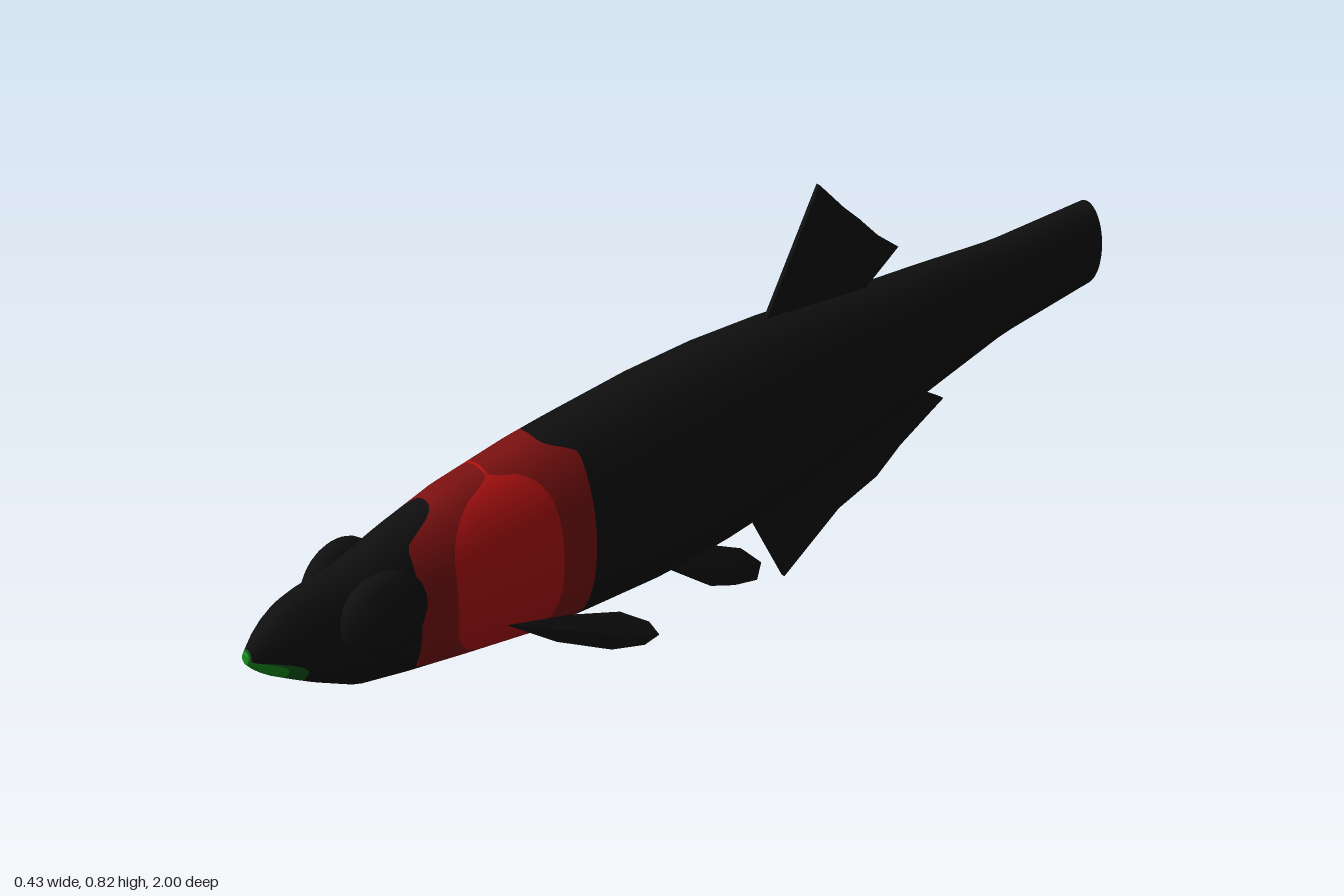
import * as THREE from 'three';

const mat = (name, color, side = THREE.FrontSide) => {
  const m = new THREE.MeshStandardMaterial({ color, side });
  m.name = name;
  return m;
};

// Body stations: z, top y, bottom y, half width
const STATIONS = [
  [-1, 0.505, 0.32, 0.046], [-0.75, 0.517, 0.308, 0.055], [-0.55, 0.545, 0.27, 0.068],
  [-0.4, 0.563, 0.24, 0.08], [-0.17, 0.6, 0.2, 0.1], [0, 0.615, 0.185, 0.107],
  [0.15, 0.618, 0.184, 0.107], [0.33, 0.611, 0.198, 0.102], [0.42, 0.606, 0.206, 0.098],
  [0.58, 0.588, 0.238, 0.086], [0.7, 0.562, 0.262, 0.07], [0.8, 0.532, 0.287, 0.06],
  [0.88, 0.524, 0.335, 0.05], [0.92, 0.516, 0.362, 0.042], [0.96, 0.495, 0.39, 0.029],
  [0.985, 0.47, 0.412, 0.018], [1, 0.452, 0.432, 0.008],
];

function section(z) {
  let i = 0;
  while (i < STATIONS.length - 2 && z > STATIONS[i + 1][0]) i++;
  const a = STATIONS[i], b = STATIONS[i + 1];
  const t = (z - a[0]) / (b[0] - a[0]);
  const [, top, bottom, rx] = a.map((v, k) => v + (b[k] - v) * t);
  return { y: (top + bottom) / 2, ry: (top - bottom) / 2, rx };
}

// Colour borders along the body, each a z value for an angle around it
const smooth = THREE.MathUtils.smoothstep;
const pinch = (s) => smooth(Math.abs(s), 0.8, 1);
const patch = (s) => Math.sqrt(Math.max(0, 1 - Math.pow(Math.min(1, Math.abs(s) / 0.93), 4)));
const lip = (s) => smooth(-s, 0.1, 0.55);
const BORDERS = [
  () => -1,
  (s) => 0.34 + 0.06 * pinch(s),
  (s) => 0.51 - 0.1 * patch(s),
  (s) => 0.515 + 0.11 * patch(s),
  (s) => 0.695 - 0.07 * pinch(s),
  (s) => 0.994 - 0.09 * lip(s),
  (s) => 0.997 - 0.06 * lip(s),
  () => 1,
];
const ROWS = [36, 5, 8, 5, 14, 4, 6]; // rows in each colour band

function bodyGeometry() {
  const N = 64, pos = [], index = [];
  const geo = new THREE.BufferGeometry();
  const addRow = (band, t) => {
    for (let j = 0; j < N; j++) {
      const a = (j / N) * Math.PI * 2, s = Math.sin(a);
      const z = THREE.MathUtils.lerp(BORDERS[band](s), BORDERS[band + 1](s), t);
      const c = section(z);
      pos.push(c.rx * Math.cos(a), c.y + c.ry * s, z);
    }
  };
  addRow(0, 0);
  let row = 0;
  ROWS.forEach((count, band) => {
    const start = index.length;
    for (let k = 1; k <= count; k++, row++) {
      addRow(band, k / count);
      for (let j = 0; j < N; j++) {
        const a = row * N + j, b = row * N + ((j + 1) % N);
        index.push(a, b, b + N, a, b + N, a + N);
      }
    }
    geo.addGroup(start, index.length - start, band);
  });
  geo.setAttribute('position', new THREE.Float32BufferAttribute(pos, 3));
  geo.setIndex(index);
  geo.computeVertexNormals();
  return geo;
}

// Paired fin: an outline fan, slightly thicker in the middle
function finGeometry(points) {
  const pts = points.map((p) => new THREE.Vector3(...p));
  const mid = pts.reduce((s, p) => s.add(p), new THREE.Vector3()).divideScalar(pts.length);
  const n = new THREE.Vector3();
  pts.forEach((p, i) => {
    const q = pts[(i + 1) % pts.length];
    n.add(p.clone().sub(mid).cross(q.clone().sub(mid)));
  });
  n.normalize().multiplyScalar(0.008);
  const front = mid.clone().add(n), back = mid.clone().sub(n), out = [];
  pts.forEach((p, i) => {
    const q = pts[(i + 1) % pts.length];
    out.push(front, p, q, back, q, p);
  });
  const geo = new THREE.BufferGeometry().setFromPoints(out);
  geo.computeVertexNormals();
  return geo;
}

// Upright fin in the middle plane, outlined as (z, y)
function uprightFin(points) {
  const shape = new THREE.Shape(points.map(([z, y]) => new THREE.Vector2(-z, y)));
  const geo = new THREE.ExtrudeGeometry(shape, { depth: 0.008, bevelEnabled: false });
  return geo.translate(0, 0, -0.004).rotateY(Math.PI / 2);
}

export function createModel() {
  const black = mat('black skin', 0x0f0f0f);
  const finBlack = mat('black fin', 0x0f0f0f, THREE.DoubleSide);
  const red = mat('bright red', 0xb41212);
  const darkRed = mat('dark red', 0x7c1111);
  const green = mat('bright green', 0x17901c);
  const darkGreen = mat('dark green', 0x10561a);

  const fish = new THREE.Group();
  fish.name = 'fish';
  const add = (name, geo, material) => {
    const m = new THREE.Mesh(geo, material);
    m.name = name;
    fish.add(m);
    return m;
  };

  // Body with red flank patches and green lower lip
  add('body', bodyGeometry(), [black, darkRed, red, darkRed, black, darkGreen, green]);

  // End caps
  const cap = (name, z, material) => {
    const c = section(z);
    const m = add(name, new THREE.CircleGeometry(1, 64), material);
    m.scale.set(c.rx, c.ry, 1);
    m.position.set(0, c.y, z);
    if (z < 0) m.rotation.y = Math.PI;
  };
  cap('tailEnd', -1, black);
  cap('snoutTip', 1, green);

  // Fins on the middle line
  add('dorsalFin', uprightFin([
    [-0.14, 0.58], [-0.145, 0.6], [-0.27, 0.828], [-0.33, 0.76], [-0.37, 0.72], [-0.42, 0.665],
    [-0.475, 0.618], [-0.395, 0.565], [-0.38, 0.54],
  ]), finBlack);
  add('analFin', uprightFin([
    [-0.09, 0.22], [-0.105, 0.2], [-0.2, 0.005], [-0.27, 0.05], [-0.34, 0.095], [-0.44, 0.122],
    [-0.5, 0.165], [-0.56, 0.195], [-0.615, 0.222], [-0.57, 0.255], [-0.54, 0.3],
  ]), finBlack);

  // Paired eyes and fins
  const pectoral = [
    [0.08, 0.31, 0.525], [0.13, 0.312, 0.43], [0.17, 0.3, 0.35], [0.2, 0.275, 0.31],
    [0.215, 0.25, 0.3], [0.205, 0.235, 0.325], [0.17, 0.228, 0.37], [0.12, 0.258, 0.45],
  ];
  const pelvic = [
    [0.032, 0.2, 0.12], [0.05, 0.125, 0.03], [0.06, 0.107, -0.02], [0.072, 0.103, -0.065],
    [0.072, 0.138, -0.075], [0.055, 0.178, -0.04], [0.038, 0.2, 0.01],
  ];
  for (const [side, s] of [['left', 1], ['right', -1]]) {
    const eye = add(side + 'Eye', new THREE.SphereGeometry(1, 24, 16), black);
    eye.scale.set(0.037, 0.083, 0.082);
    eye.position.set(s * 0.06, 0.445, 0.765);
    eye.rotation.y = -s * 0.12;
    const mirrored = (pts) => finGeometry(pts.map(([x, y, z]) => [s * x, y, z]));
    add(side + 'PectoralFin', mirrored(pectoral), finBlack);
    add(side + 'PelvicFin', mirrored(pelvic), finBlack);
  }
  return fish;
}
